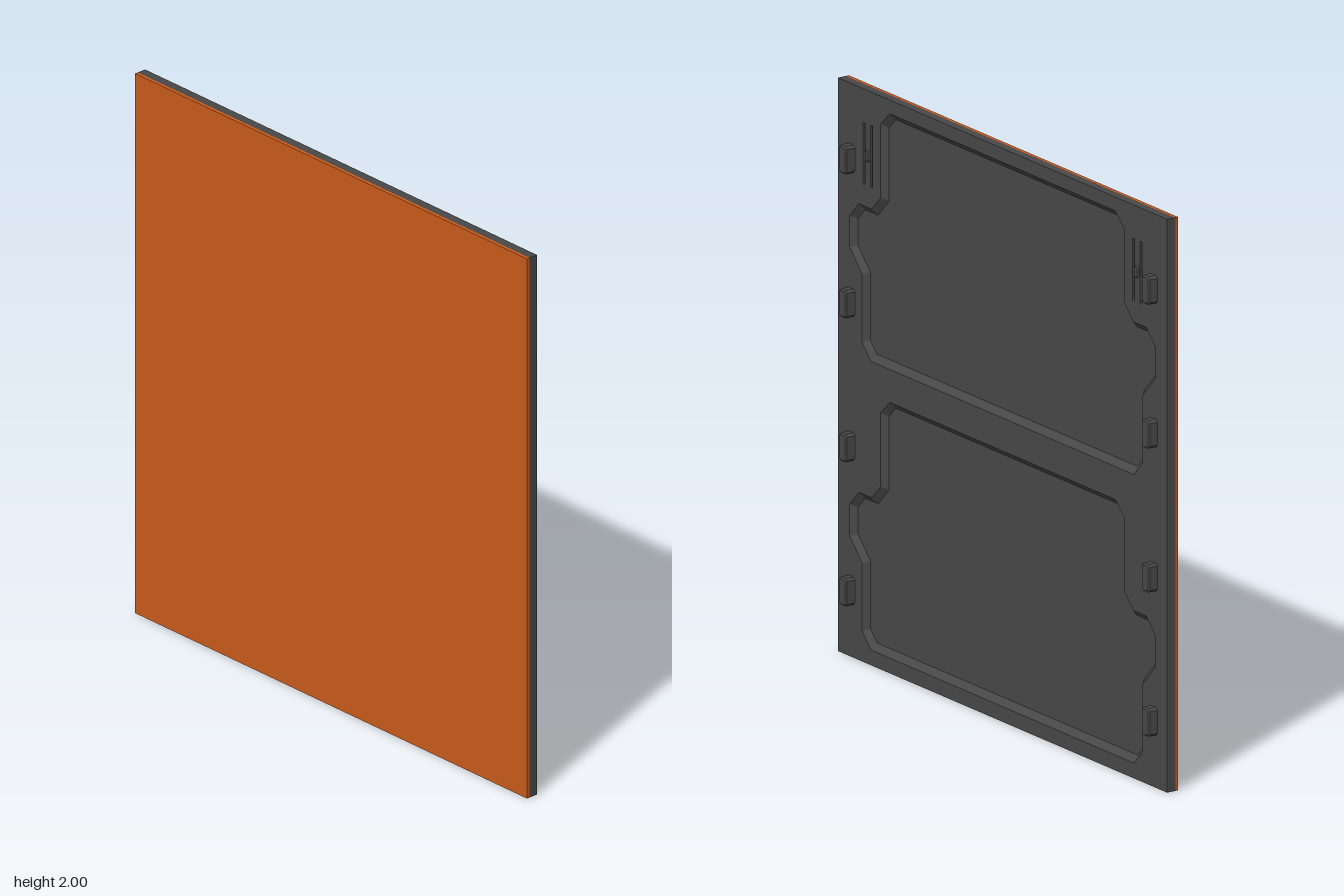
import * as THREE from 'three';

const grey = new THREE.MeshStandardMaterial({ color: 0x484848, flatShading: true });
const orange = new THREE.MeshStandardMaterial({ color: 0xc85a1c, flatShading: true });

const W = 0.957, H = 2, BACK = -0.045, SKIN = -0.033, FLOOR = -0.02;
const SLOT_X = [0.761, 0.804], SLOT_Y = [1.666, 1.883], SLOT_W = 0.012;

// right halves of the recess outline, bottom to top: at the face and at the floor
const rim = [[0.765, 1.06], [0.815, 1.113], [0.815, 1.35], [0.888, 1.427], [0.888, 1.537],
  [0.835, 1.592], [0.76, 1.592], [0.708, 1.645], [0.708, 1.902], [0.655, 1.952]];
const foot = [[0.757, 1.083], [0.796, 1.122], [0.796, 1.36], [0.867, 1.433], [0.867, 1.528],
  [0.826, 1.57], [0.75, 1.57], [0.687, 1.636], [0.687, 1.892], [0.648, 1.93]];

const outline = (half, dy) => [...half, ...half.map(([x, y]) => [-x, y]).reverse()]
  .map(([x, y]) => new THREE.Vector2(x, y + dy));

const rect = (x0, y0, x1, y1) => [[x0, y0], [x1, y0], [x1, y1], [x0, y1]]
  .map(([x, y]) => new THREE.Vector2(x, y));

function slab(holes, from, to) {
  const shape = new THREE.Shape(rect(-W, 0, W, H));
  shape.holes = holes.map((points) => new THREE.Path(points));
  return new THREE.ExtrudeGeometry(shape, { depth: to - from, bevelEnabled: false }).translate(0, 0, from);
}

// sloping wall between the rim and the floor of a recess
function slopedWall(outer, inner) {
  const p = [];
  outer.forEach((a, i) => {
    const j = (i + 1) % outer.length, b = outer[j], c = inner[j], d = inner[i];
    p.push(a.x, a.y, 0, b.x, b.y, 0, c.x, c.y, FLOOR);
    p.push(a.x, a.y, 0, c.x, c.y, FLOOR, d.x, d.y, FLOOR);
  });
  const g = new THREE.BufferGeometry();
  g.setAttribute('position', new THREE.Float32BufferAttribute(p, 3));
  g.computeVertexNormals();
  return g;
}

// block with clipped corners and a bevelled outer face, standing on the panel face
function clippedBlock(w, h, height, cut) {
  const b = 0.005, x = w / 2 - b, y = h / 2 - b;
  const points = [[x - cut, -y], [x, -y + cut], [x, y - cut], [x - cut, y],
    [-x + cut, y], [-x, y - cut], [-x, -y + cut], [-x + cut, -y]];
  return new THREE.ExtrudeGeometry(new THREE.Shape(points.map((q) => new THREE.Vector2(...q))), {
    depth: height, bevelThickness: b, bevelSize: b, bevelSegments: 1,
  }).translate(0, 0, -b);
}

// ramp closing one end of a slot
function ramp(end, inward) {
  const tri = [[SKIN, end + inward], [SKIN, end], [0, end]].map((q) => new THREE.Vector2(...q));
  return new THREE.ExtrudeGeometry(new THREE.Shape(tri), { depth: SLOT_W, bevelEnabled: false })
    .translate(0, 0, -SLOT_W / 2).rotateY(-Math.PI / 2);
}

export function createModel() {
  const model = new THREE.Group();
  model.name = 'wallPanel';
  // built facing +z, then turned to face +x
  const panel = new THREE.Group();
  panel.name = 'panel';
  panel.rotation.y = Math.PI / 2;
  model.add(panel);

  const add = (name, geometry, material, x = 0, y = 0, z = 0) => {
    const mesh = new THREE.Mesh(geometry, material);
    mesh.name = name;
    mesh.position.set(x, y, z);
    panel.add(mesh);
  };

  const slots = [];
  for (const side of [-1, 1]) for (const x of SLOT_X) {
    const c = side * x;
    slots.push(rect(c - SLOT_W / 2, SLOT_Y[0], c + SLOT_W / 2, SLOT_Y[1]));
  }
  const drops = [0, -1.007];

  // layers
  add('backSkin', new THREE.BoxGeometry(2 * W, H, SKIN - BACK), orange, 0, H / 2, (SKIN + BACK) / 2);
  add('recessFloor', slab(slots, SKIN, FLOOR), grey);
  add('facePlate', slab([...slots, ...drops.map((dy) => outline(rim, dy))], FLOOR, 0), grey);
  for (const dy of drops) add('recessWall', slopedWall(outline(rim, dy), outline(foot, dy)), grey);

  // hooks, slot ends and slot catches on both sides
  const hook = clippedBlock(0.044, 0.098, 0.036, 0.006);
  const knob = clippedBlock(0.028, 0.042, 0.006, 0.006);
  const ramps = [ramp(SLOT_Y[0], 0.026), ramp(SLOT_Y[1], -0.026)];
  for (const side of [-1, 1]) {
    for (const y of [0.233, 0.736, 1.238, 1.74]) add('hook', hook, grey, side * 0.88, y);
    add('slotCatch', knob, grey, side * 0.782, 1.772);
    for (const x of SLOT_X) for (const r of ramps) add('slotEnd', r, grey, side * x);
  }
  return model;
}
